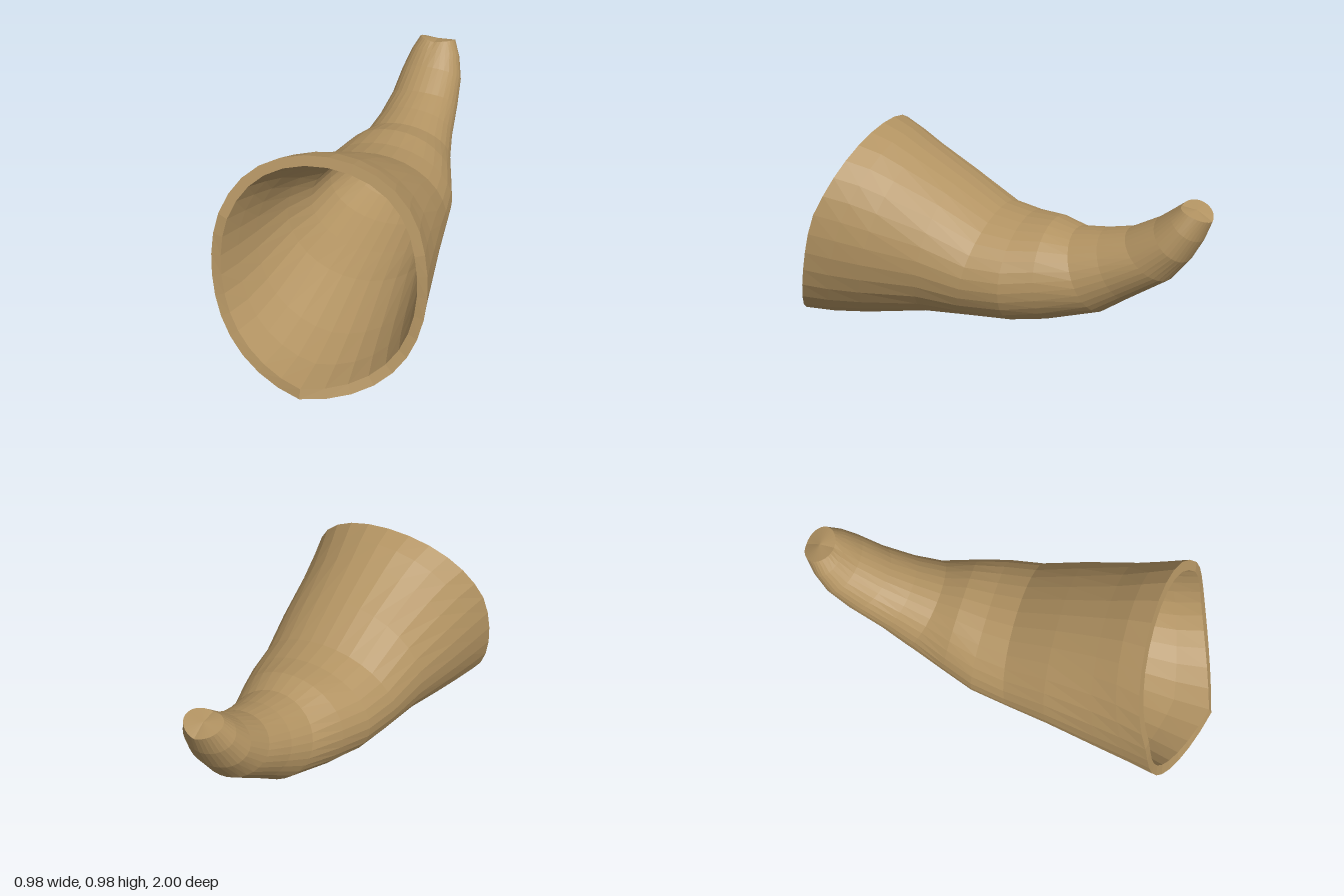
import * as THREE from 'three';

const SIDES = 32;
const WALL = 0.045;

// Horn stations, mouth to tip: top z, top y, bottom z, bottom y, half width, mouth bend, side lift
const STATIONS = [
  [0.60, 0.983, 1.00, 0.002, 0.490, 1.0, 0],
  [0.50, 0.945, 0.82, 0.002, 0.465, 0.5, 0],
  [0.40, 0.888, 0.62, 0.03, 0.440, 0.2, 0],
  [0.20, 0.778, 0.30, 0.105, 0.395, 0, 0],
  [0.00, 0.66, 0.10, 0.13, 0.358, 0, 0],
  [-0.13, 0.64, -0.13, 0.15, 0.330, 0, 0],
  [-0.26, 0.645, -0.30, 0.18, 0.280, 0, 0],
  [-0.37, 0.62, -0.54, 0.26, 0.220, 0, 0],
  [-0.50, 0.64, -0.66, 0.35, 0.190, 0, 0],
  [-0.62, 0.67, -0.84, 0.48, 0.168, 0, 0],
  [-0.75, 0.745, -0.92, 0.59, 0.153, 0, 0],
  [-0.82, 0.80, -0.97, 0.69, 0.125, 0, 0.01],
  [-0.86, 0.83, -1.00, 0.78, 0.090, 0, 0.02],
];

// One slanted cross-section, drawn in by the wall thickness
function ring([tz, ty, bz, by, w, bend, lift], inset) {
  const top = new THREE.Vector2(tz, ty), bottom = new THREE.Vector2(bz, by);
  const mid = top.clone().add(bottom).multiplyScalar(0.5);
  const half = top.clone().sub(mid);
  half.setLength(half.length() - inset);
  const square = 0.04 * bend; // the mouth is slightly squared off
  const points = [];
  for (let j = 0; j <= SIDES; j++) {
    const t = (j / SIDES) * Math.PI * 2;
    const s = Math.sin(t), c = Math.cos(t), a = Math.abs(s);
    const x = (w - inset) * (s + square * Math.sin(3 * t)) / (1 - square);
    const hollow = bend * Math.max(0, 0.035 * a - 0.1 * a * c);
    points.push(new THREE.Vector3(x, mid.y + half.y * c + lift * a, mid.x + half.x * c - hollow));
  }
  return points;
}

// All corners of a closing ring gathered at one point
function pole(points, rise = 0) {
  const centre = new THREE.Vector3();
  for (let j = 0; j < SIDES; j++) centre.addScaledVector(points[j], 1 / SIDES);
  centre.y += rise;
  return points.map(() => centre);
}

// Faceted skin over a row of rings
function skin(rings) {
  const positions = [];
  const triangle = (a, b, c) => {
    if (a === b || b === c || a === c) return;
    for (const p of [a, b, c]) positions.push(p.x, p.y, p.z);
  };
  for (let i = 0; i < rings.length - 1; i++) {
    for (let j = 0; j < SIDES; j++) {
      const a = rings[i][j], b = rings[i][j + 1];
      const c = rings[i + 1][j + 1], d = rings[i + 1][j];
      triangle(a, b, c);
      triangle(a, c, d);
    }
  }
  const geometry = new THREE.BufferGeometry();
  geometry.setAttribute('position', new THREE.Float32BufferAttribute(positions, 3));
  geometry.computeVertexNormals();
  return geometry;
}

export function createModel() {
  const group = new THREE.Group();
  group.name = 'horn';
  const material = new THREE.MeshStandardMaterial({ color: 0xb29362, flatShading: true });
  material.name = 'tan horn';

  const add = (name, rings) => {
    const mesh = new THREE.Mesh(skin(rings), material);
    mesh.name = name;
    group.add(mesh);
  };

  const outer = STATIONS.map((s) => ring(s, 0));
  const inner = STATIONS.slice(0, -1).map((s) => ring(s, WALL));
  const tip = outer[outer.length - 1];
  const innerEnd = inner[inner.length - 1];

  add('outerShell', outer);
  add('mouthRim', [inner[0], outer[0]]);
  add('innerShell', [pole(innerEnd), ...inner.slice().reverse()]);
  add('tipCap', [tip, pole(tip, 0.005)]);
  return group;
}
